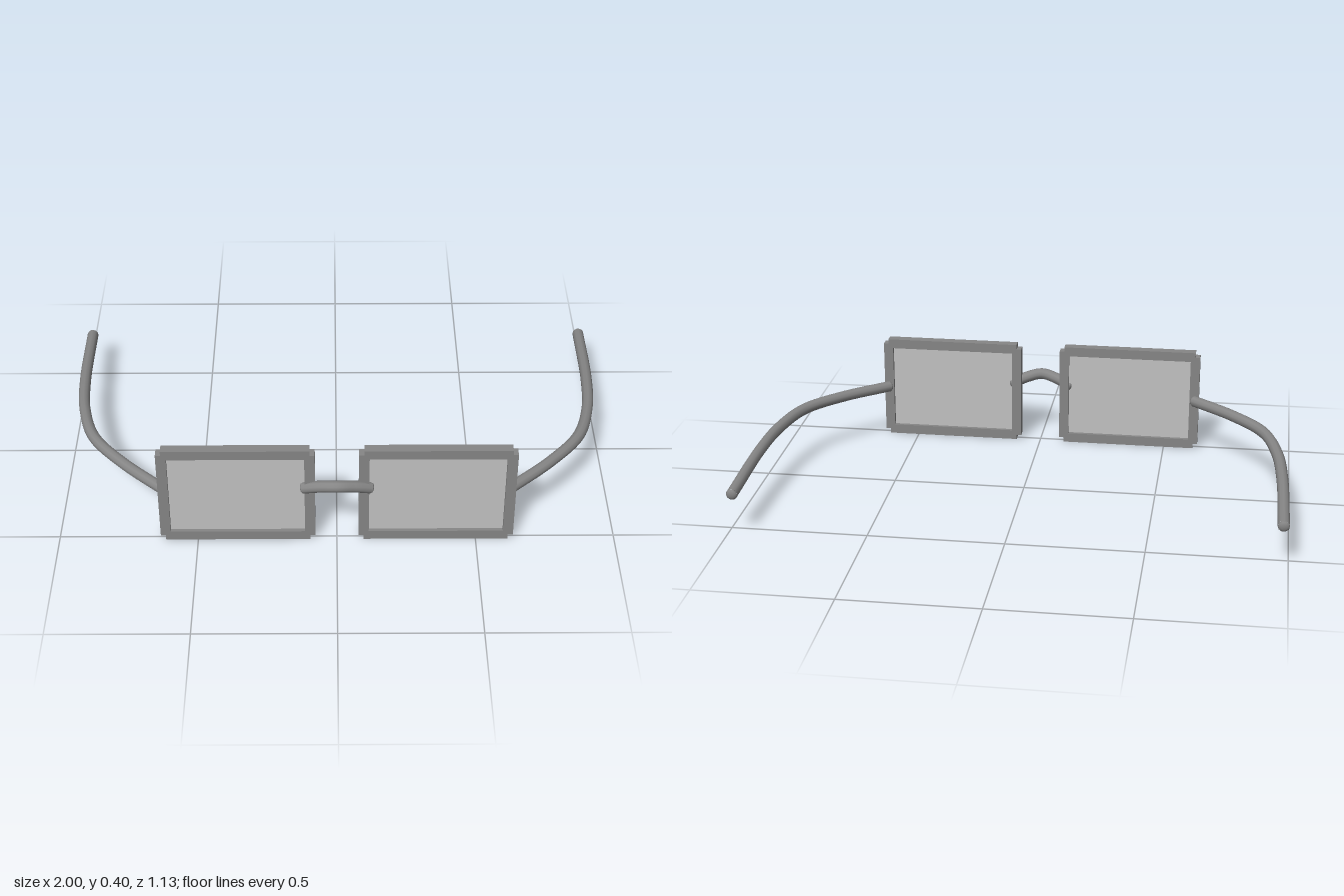
import * as THREE from 'three';

const frameMat = new THREE.MeshStandardMaterial({ color: 0x868686 });
frameMat.name = 'frame grey';
const lensMat = new THREE.MeshStandardMaterial({ color: 0xc2c2c2 });
lensMat.name = 'lens grey';

const BAR = 0.037, W = 0.52, H = 0.367, CX = 0.356, CY = 0.203, CZ = 0.4975;

function box(name, mat, w, h, d, x, y, z) {
  const mesh = new THREE.Mesh(new THREE.BoxGeometry(w, h, d), mat);
  mesh.name = name;
  mesh.position.set(x, y, z);
  return mesh;
}

// Round wire along a smooth curve, with softened ends
function wire(name, points, radius, segments) {
  const group = new THREE.Group();
  group.name = name;
  const curve = new THREE.CatmullRomCurve3(points.map(p => new THREE.Vector3(...p)));
  const tube = new THREE.Mesh(new THREE.TubeGeometry(curve, segments, radius, 10), frameMat);
  tube.name = name + 'Wire';
  group.add(tube);
  for (const t of [0, 1]) {
    const cap = new THREE.Mesh(new THREE.SphereGeometry(radius, 10, 6), frameMat);
    cap.name = name + 'End';
    cap.scale.y = 0.5;
    cap.quaternion.setFromUnitVectors(new THREE.Vector3(0, 1, 0), curve.getTangent(t));
    cap.position.copy(curve.getPoint(t));
    group.add(cap);
  }
  return group;
}

export function createModel() {
  const model = new THREE.Group();
  model.name = 'glasses';

  for (const [side, s] of [['left', 1], ['right', -1]]) {
    // Rim of four square bars whose corners are notched
    const rim = new THREE.Group();
    rim.name = side + 'Rim';
    for (const k of [-1, 1]) {
      rim.add(box('horizontalBar', frameMat, W, BAR, BAR, 0, k * H / 2, 0));
      rim.add(box('verticalBar', frameMat, BAR, H, BAR, k * W / 2, 0, 0));
    }
    rim.add(box(side + 'Lens', lensMat, W - BAR, H - BAR, 0.009, 0, 0, 0));
    rim.position.set(s * CX, CY, CZ);
    model.add(rim);

    // Temple arm sweeping outward, back and slightly down
    model.add(wire(side + 'Temple', [
      [s * 0.617, 0.204, 0.477],
      [s * 0.775, 0.207, 0.33],
      [s * 0.893, 0.206, 0.18],
      [s * 0.947, 0.197, 0],
      [s * 0.968, 0.185, -0.2],
      [s * 0.977, 0.157, -0.552],
    ], 0.0215, 40));
  }

  // Arched nose bridge
  model.add(wire('bridge', [
    [-0.118, 0.233, 0.505],
    [-0.06, 0.255, 0.526],
    [0, 0.267, 0.541],
    [0.06, 0.255, 0.526],
    [0.118, 0.233, 0.505],
  ], 0.0215, 20));

  return model;
}
